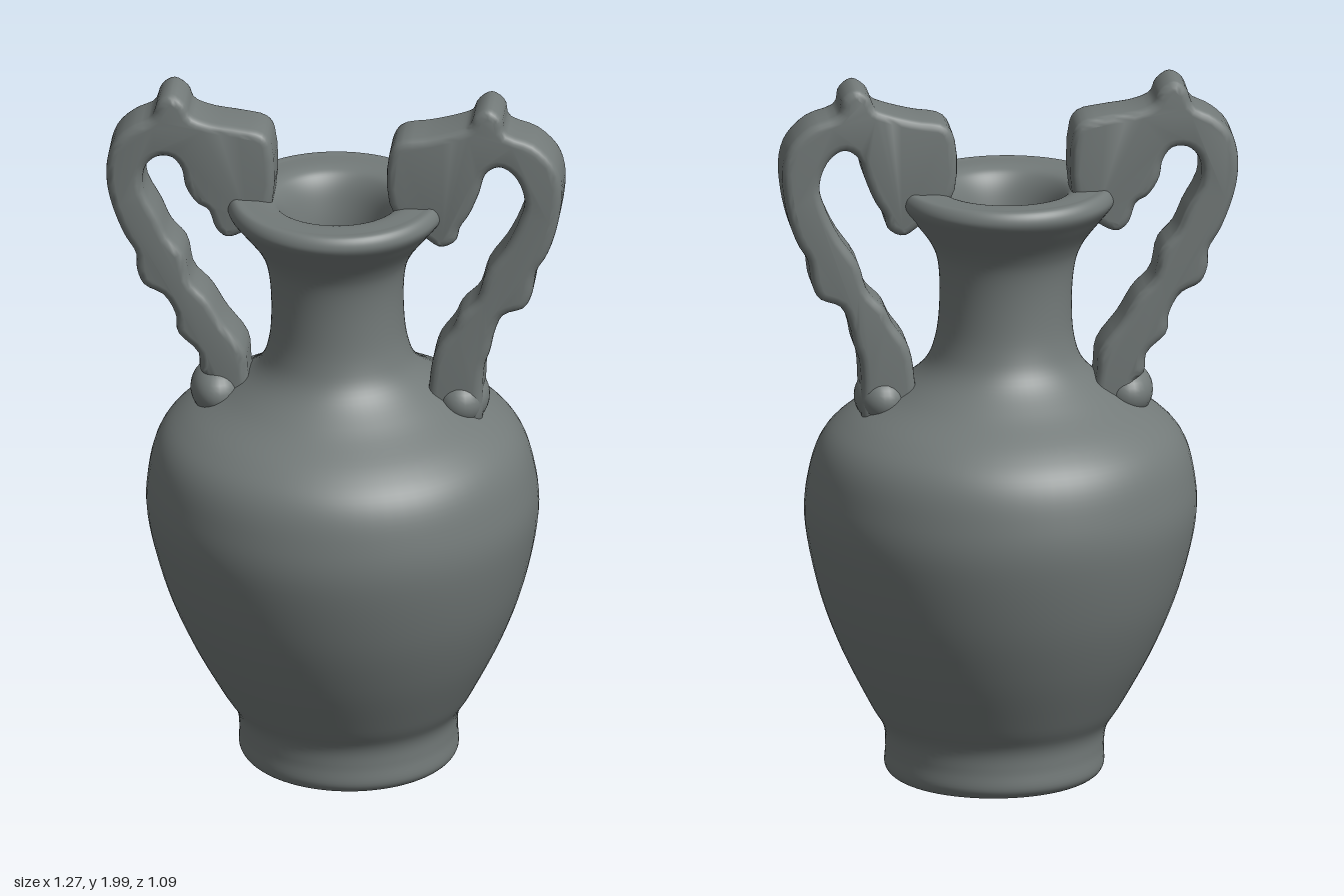
import * as THREE from 'three';
import { toCreasedNormals } from 'three/addons/utils/BufferGeometryUtils.js';

const stone = new THREE.MeshStandardMaterial({ color: 0x737a79 });
stone.name = 'grey stone';

// Smooth curve through a few profile points, given as [radius, height]
const v2 = (pts) => pts.map(([x, y]) => new THREE.Vector2(x, y));
const smooth = (pts, n) => new THREE.SplineCurve(v2(pts)).getPoints(n);

// Lathed part whose axis leans slightly towards the left at the foot
function turned(name, points) {
  const geo = new THREE.LatheGeometry(points, 72);
  const p = geo.attributes.position;
  for (let i = 0; i < p.count; i++) {
    p.setX(i, p.getX(i) + 0.036 * Math.max(0, 1 - p.getY(i) / 1.5));
  }
  const mesh = new THREE.Mesh(geo, stone);
  mesh.name = name;
  return mesh;
}

// Handle with animal-head end: closed smooth outline, extruded with rounded edges
function handle(name, outline, z) {
  const curve = new THREE.CatmullRomCurve3(
    outline.map(([x, y]) => new THREE.Vector3(x, y, 0)), true, 'centripetal');
  const shape = new THREE.Shape(v2(curve.getPoints(150).slice(0, -1).map((p) => [p.x, p.y])));
  const bevel = 0.024;
  const geo = new THREE.ExtrudeGeometry(shape, {
    depth: 0.156 - 2 * bevel, bevelEnabled: true, bevelThickness: bevel,
    bevelSize: bevel, bevelOffset: -bevel, bevelSegments: 4, curveSegments: 1,
  });
  geo.translate(0, 0, -0.078 + bevel + z);
  const mesh = new THREE.Mesh(toCreasedNormals(geo, 0.9), stone);
  mesh.name = name;
  return mesh;
}

export function createModel() {
  const model = new THREE.Group();
  model.name = 'amphora';

  // Outside of the vessel, from the foot up to the rim
  model.add(turned('outerBody', smooth([
    [0.235, 0.03], [0.25, 0.012], [0.28, 0.01], [0.303, 0.035], [0.302, 0.09], [0.31, 0.15],
    [0.352, 0.22], [0.435, 0.38], [0.5, 0.55], [0.541, 0.74], [0.533, 0.87],
    [0.5, 0.97], [0.43, 1.04], [0.31, 1.11], [0.225, 1.18], [0.192, 1.26],
    [0.183, 1.37], [0.19, 1.475], [0.215, 1.54], [0.268, 1.61], [0.298, 1.65],
    [0.3, 1.675], [0.285, 1.695], [0.26, 1.695],
  ], 130)));

  // Rim top, throat and hollow inside
  model.add(turned('throatAndInside', smooth([
    [0.26, 1.695], [0.2, 1.692], [0.165, 1.67], [0.14, 1.61], [0.125, 1.5],
    [0.122, 1.3], [0.16, 1.17], [0.3, 1.04], [0.44, 0.92], [0.47, 0.74],
    [0.42, 0.5], [0.3, 0.24], [0.18, 0.13], [0, 0.1],
  ], 90)));

  // Recessed underside
  model.add(turned('underside', v2([[0, 0.035], [0.235, 0.03]])));

  // Right handle outline: knob, outer arm, foot, inner arm, chin, muzzle, brow
  model.add(handle('rightHandle', [
    [-0.455, 2], [-0.49, 1.98], [-0.51, 1.93], [-0.565, 1.9], [-0.612, 1.855],
    [-0.633, 1.79], [-0.633, 1.72], [-0.617, 1.65], [-0.585, 1.57], [-0.553, 1.515],
    [-0.55, 1.465], [-0.53, 1.42], [-0.475, 1.39], [-0.442, 1.33], [-0.437, 1.28],
    [-0.38, 1.22], [-0.373, 1.165], [-0.345, 1.14], [-0.34, 1.06], [-0.24, 1.06],
    [-0.243, 1.17], [-0.251, 1.235], [-0.31, 1.315], [-0.352, 1.385], [-0.4, 1.437],
    [-0.42, 1.52], [-0.463, 1.57], [-0.49, 1.63], [-0.532, 1.713], [-0.527, 1.777],
    [-0.495, 1.81], [-0.453, 1.81], [-0.426, 1.776], [-0.415, 1.723], [-0.384, 1.675],
    [-0.352, 1.655], [-0.331, 1.6], [-0.3, 1.575], [-0.257, 1.59], [-0.22, 1.62],
    [-0.18, 1.66], [-0.177, 1.86], [-0.2, 1.893], [-0.267, 1.908], [-0.352, 1.92],
    [-0.4, 1.94], [-0.416, 1.975],
  ], -0.018));

  // Left handle outline, in the same order
  model.add(handle('leftHandle', [
    [0.426, 2], [0.463, 1.975], [0.475, 1.93], [0.553, 1.898], [0.611, 1.84],
    [0.63, 1.775], [0.624, 1.685], [0.606, 1.607], [0.585, 1.554], [0.559, 1.51],
    [0.548, 1.443], [0.527, 1.4], [0.468, 1.374], [0.442, 1.315], [0.431, 1.263],
    [0.416, 1.22], [0.41, 1.155], [0.4, 1.04], [0.27, 1.06], [0.265, 1.18],
    [0.283, 1.263], [0.326, 1.326], [0.347, 1.37], [0.394, 1.42], [0.42, 1.5],
    [0.474, 1.58], [0.511, 1.66], [0.527, 1.723], [0.5, 1.797], [0.458, 1.824],
    [0.42, 1.802], [0.4, 1.74], [0.373, 1.675], [0.347, 1.633], [0.336, 1.595],
    [0.294, 1.575], [0.246, 1.605], [0.2, 1.64], [0.155, 1.69], [0.151, 1.845],
    [0.177, 1.89], [0.262, 1.908], [0.341, 1.93], [0.373, 1.945], [0.389, 1.977],
  ], -0.005));

  // Rounded swellings where the handles meet the shoulder
  for (const [side, name] of [[-1, 'rightHandleFoot'], [1, 'leftHandleFoot']]) {
    const foot = new THREE.Mesh(new THREE.SphereGeometry(1, 28, 18), stone);
    foot.name = name;
    foot.scale.set(0.075, 0.075, 0.105);
    foot.position.set(side * 0.34 + 0.01, 1.1, -0.005);
    model.add(foot);
  }
  return model;
}
